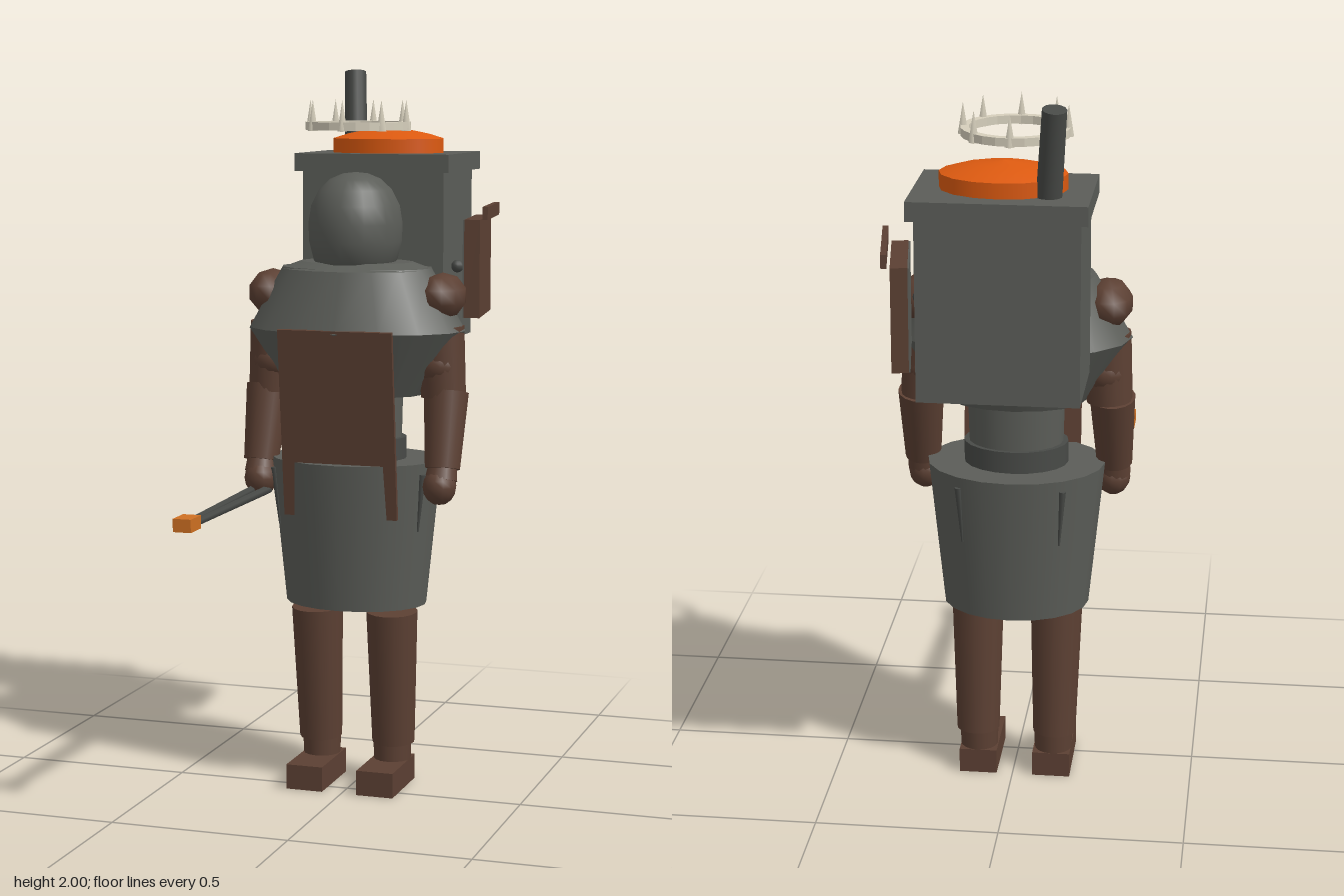
import * as THREE from 'three';

const mat = (name, color) => Object.assign(new THREE.MeshStandardMaterial({ color }), { name });

export function createModel() {
  const iron = mat('iron grey', 0x5b5d58);
  const dark = mat('dark iron', 0x484a47);
  const leather = mat('brown leather', 0x5c4033);
  const ember = mat('ember orange', 0xdd5a10);
  const hot = mat('hot tip orange', 0xcf7022);
  const ivory = mat('ivory', 0xd6cfbc);

  const root = new THREE.Group();
  root.name = 'furnaceKnight';
  const add = (name, geo, material, x = 0, y = 0, z = 0) => {
    const m = new THREE.Mesh(geo, material);
    m.name = name;
    m.position.set(x, y, z);
    root.add(m);
    return m;
  };
  const box = (name, w, h, d, material, x, y, z) => add(name, new THREE.BoxGeometry(w, h, d), material, x, y, z);
  // tapered cylinder between two points [x, y, z]
  const rod = (name, a, b, ra, rb, material, sides = 16) => {
    const p = new THREE.Vector3(...a), q = new THREE.Vector3(...b);
    const dir = q.clone().sub(p);
    const m = add(name, new THREE.CylinderGeometry(rb, ra, dir.length(), sides), material);
    m.position.copy(p).add(q).multiplyScalar(0.5);
    m.quaternion.setFromUnitVectors(new THREE.Vector3(0, 1, 0), dir.normalize());
    return m;
  };
  // upright elliptical frustum
  const oval = (name, y0, y1, r0, r1, depth, material, x = CX, z = CZ, sides = 20) => {
    const m = add(name, new THREE.CylinderGeometry(r1, r0, y1 - y0, sides), material, x, (y0 + y1) / 2, z);
    m.scale.z = depth;
    return m;
  };
  const ball = (name, r, sx, sy, sz, material, x, y, z, w = 20, h = 14) => {
    const m = add(name, new THREE.SphereGeometry(r, w, h), material, x, y, z);
    m.scale.set(sx, sy, sz);
    return m;
  };
  const CX = -0.006, CZ = -0.102;

  // skirt, waist and mantle
  oval('skirt', 0.52, 0.93, 0.2, 0.242, 0.8, iron);
  oval('belt', 0.93, 0.99, 0.142, 0.142, 0.8, dark);
  oval('waist', 0.97, 1.13, 0.128, 0.132, 0.8, iron);
  oval('mantleLower', 1.11, 1.29, 0.19, 0.312, 0.65, iron, CX, CZ, 16).scale.z = 0.65;
  oval('mantleUpper', 1.29, 1.46, 0.312, 0.215, 0.65, iron, CX, CZ, 16);
  oval('collar', 1.455, 1.475, 0.215, 0.16, 0.7, iron, CX, CZ, 16);

  // thin pleats on the skirt
  for (const deg of [25, 155, 234, 306]) {
    const c = Math.cos(deg * Math.PI / 180), s = Math.sin(deg * Math.PI / 180);
    rod('skirtPleat', [CX + 0.238 * c, 0.9, CZ + 0.19 * s], [CX + 0.222 * c, 0.74, CZ + 0.178 * s], 0.01, 0.003, dark, 6);
  }

  // leaning apron plate
  const apron = box('apron', 0.325, 0.522, 0.013, leather, CX, 1.04, 0.066);
  apron.rotation.x = Math.atan2(0.056, 0.52);

  // helmet
  const dome = [[0.001, 1.44], [0.09, 1.455], [0.115, 1.48], [0.127, 1.53], [0.129, 1.58], [0.121, 1.63],
    [0.1, 1.672], [0.07, 1.701], [0.035, 1.716], [0.0005, 1.72]].map(p => new THREE.Vector2(...p));
  add('helmet', new THREE.LatheGeometry(dome, 24), iron, CX - 0.003, 0, CZ + 0.003).scale.z = 1.1;
  rod('helmetKnob', [CX, 1.665, -0.165], [CX, 1.695, -0.215], 0.03, 0.006, iron, 10);

  // floating spiked crown
  const ring = [[0.122, 1.835], [0.145, 1.835], [0.145, 1.857], [0.122, 1.857], [0.122, 1.835]];
  const ringGeo = new THREE.LatheGeometry(ring.map(p => new THREE.Vector2(...p)), 24).toNonIndexed();
  ringGeo.computeVertexNormals();
  add('crownRing', ringGeo, ivory, -0.006, 0, -0.113);
  for (let i = 0; i < 8; i++) {
    const a = i * Math.PI / 4;
    add('crownSpike', new THREE.ConeGeometry(0.014, 0.085, 4), ivory,
      -0.006 + 0.138 * Math.cos(a), 1.875, -0.113 + 0.138 * Math.sin(a));
  }

  // limbs, mirrored
  for (const s of [-1, 1]) {
    const X = v => CX + s * v;
    ball('shoulderPad', 0.07, 0.95, 0.92, 1.32, leather, X(0.247), 1.385, -0.104, 10, 5);
    ball('shoulderJoint', 0.066, 1, 1, 1, leather, X(0.243), 1.19, -0.1);
    rod('upperArm', [X(0.24), 1.3, -0.1], [X(0.252), 1.11, -0.1], 0.068, 0.062, leather);
    ball('shoulderCap', 0.069, 1, 0.9, 1, leather, X(0.24), 1.195, -0.1);
    rod('forearm', [X(0.26), 1.12, -0.1], [X(0.264), 0.915, -0.048], 0.062, 0.049, leather);
    rod('wrist', [X(0.264), 0.92, -0.05], [X(0.263), 0.885, -0.04], 0.04, 0.045, leather);
    ball('hand', 0.047, 1, 1.1, 1.1, leather, X(0.26), 0.868, -0.036, 12, 8);

    rod('leg', [X(0.108), 0.12, -0.108], [X(0.11), 0.5, -0.083], 0.06, 0.072, leather);
    rod('ankle', [X(0.105), 0.06, -0.108], [X(0.105), 0.13, -0.108], 0.052, 0.054, leather);
    box('foot', 0.105, 0.07, 0.216, leather, X(0.103), 0.035, -0.052);
  }

  // furnace pack
  box('furnaceBody', 0.415, 0.48, 0.295, iron, -0.008, 1.48, -0.398);
  box('furnaceLid', 0.452, 0.05, 0.333, iron, -0.008, 1.74, -0.4);
  oval('emberBase', 1.765, 1.805, 0.163, 0.163, 0.74, ember, -0.007, -0.397, 16);
  const emberCurve = [[0.163, 1.805], [0.12, 1.818], [0.07, 1.828], [0.0005, 1.836]];
  add('emberDome', new THREE.LatheGeometry(emberCurve.map(p => new THREE.Vector2(...p)), 16), ember,
    -0.007, 0, -0.397).scale.z = 0.74;
  rod('chimney', [-0.128, 1.75, -0.472], [-0.146, 1.993, -0.52], 0.033, 0.031, dark, 14);

  // open furnace door, swung outwards at the front
  const turn = Math.atan2(0.036, 0.255);
  box('furnaceDoor', 0.044, 0.275, 0.258, leather, 0.259, 1.447, -0.398).rotation.y = turn;
  box('doorLining', 0.006, 0.272, 0.255, iron, 0.236, 1.447, -0.395).rotation.y = turn;
  box('doorTopStrip', 0.015, 0.036, 0.275, leather, 0.296, 1.603, -0.402).rotation.y = turn;
  ball('doorKnob', 0.018, 1, 1, 1, dark, 0.22, 1.45, -0.325, 10, 8);

  // tongs holding a hot piece of metal
  for (const s of [-1, 1]) {
    rod('tongArm', [-0.263 + s * 0.02, 0.835, -0.03], [-0.263 + s * 0.011, 0.83, 0.482], 0.013, 0.01, dark, 6);
  }
  box('hotMetal', 0.05, 0.035, 0.072, hot, -0.264, 0.833, 0.528);

  return root;
}
